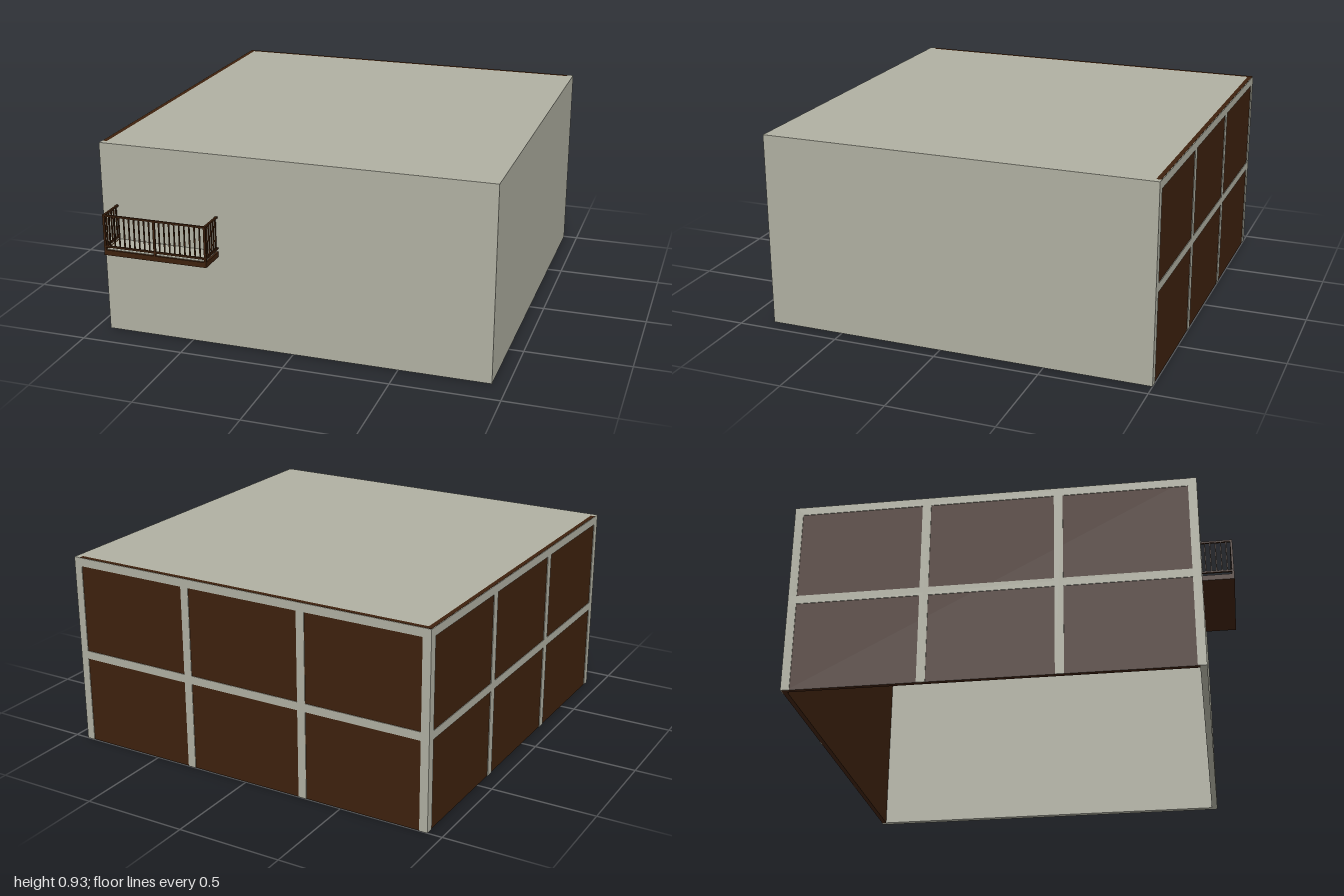
import * as THREE from 'three';

const grey = new THREE.MeshStandardMaterial({ color: 0xafafa1 });
grey.name = 'concrete grey';
const brown = new THREE.MeshStandardMaterial({ color: 0x3d210d });
brown.name = 'dark brown';

// Box given by its minimum and maximum along each axis
function block(parent, name, mat, [x0, x1], [y0, y1], [z0, z1]) {
  const mesh = new THREE.Mesh(new THREE.BoxGeometry(x1 - x0, y1 - y0, z1 - z0), mat);
  mesh.position.set((x0 + x1) / 2, (y0 + y1) / 2, (z0 + z1) / 2);
  mesh.name = name;
  parent.add(mesh);
}

function group(parent, name) {
  const g = new THREE.Group();
  g.name = name;
  parent.add(g);
  return g;
}

// Thin grey grid on a panelled wall; put(name, along, y) places one bar
function grid(start, end, put) {
  const w = 0.04, H = 0.929;
  for (let i = 0; i < 4; i++) {
    const a = start + (end - start - w) * i / 3;
    put('uprightBar', [a, a + w], [0, H]);
  }
  put('topBar', [start, end], [H - w, H]);
  put('middleBar', [start, end], [0.425, 0.465]);
}

export function createModel() {
  const model = new THREE.Group();
  model.name = 'roomWithBalcony';

  // Shell, open underneath
  const shell = group(model, 'shell');
  block(shell, 'roof', grey, [-0.905, 0.93], [0.9, 0.93], [-0.975, 0.86]);
  block(shell, 'frontWall', grey, [-0.93, 0.93], [0, 0.93], [0.83, 0.86]);
  block(shell, 'leftWall', grey, [0.9, 0.93], [0, 0.93], [-1, 0.83]);

  // Brown walls with a grid of bars on the outside
  const back = group(model, 'backPanelWall');
  block(back, 'backPanel', brown, [-0.927, 0.9], [0, 0.93], [-0.997, -0.975]);
  grid(-0.93, 0.93, (n, x, y) => block(back, n, grey, x, y, [-1, -0.996]));
  const side = group(model, 'rightPanelWall');
  block(side, 'rightPanel', brown, [-0.927, -0.905], [0, 0.93], [-0.975, 0.83]);
  grid(-1, 0.86, (n, z, y) => block(side, n, grey, [-0.93, -0.926], y, z));

  // Balcony slab with a thin grey floor
  const balcony = group(model, 'balcony');
  const L = -0.86, R = -0.355, F = 1, t = 0.01;
  block(balcony, 'slab', brown, [L, R], [0.44, 0.465], [0.86, F]);
  block(balcony, 'floor', grey, [L + t, R - t], [0.465, 0.467], [0.86, F - t]);

  // Top and bottom rails on three sides
  for (const y of [[0.478, 0.486], [0.628, 0.636]]) {
    block(balcony, 'frontRail', brown, [L, R], y, [F - t, F]);
    for (const x of [L, R - t]) block(balcony, 'sideRail', brown, [x, x + t], y, [0.86, F - t]);
  }

  // Posts at the corners and middle
  for (const x of [L, (L + R - t) / 2, R - t]) {
    block(balcony, 'post', brown, [x, x + t], [0.465, 0.636], [F - t, F]);
  }

  // Balusters
  const b = 0.0055, yb = [0.482, 0.632];
  for (let i = 1; i < 20; i++) {
    if (i === 10) continue;
    const x = L + t / 2 + (R - L - t) * i / 20 - b / 2;
    block(balcony, 'frontBaluster', brown, [x, x + b], yb, [F - 0.008, F - 0.002]);
  }
  for (const x of [L + 0.002, R - 0.008]) {
    for (let i = 1; i <= 5; i++) {
      const z = F - 0.005 - 0.0235 * i;
      block(balcony, 'sideBaluster', brown, [x, x + 0.006], yb, [z - b / 2, z + b / 2]);
    }
  }
  return model;
}
